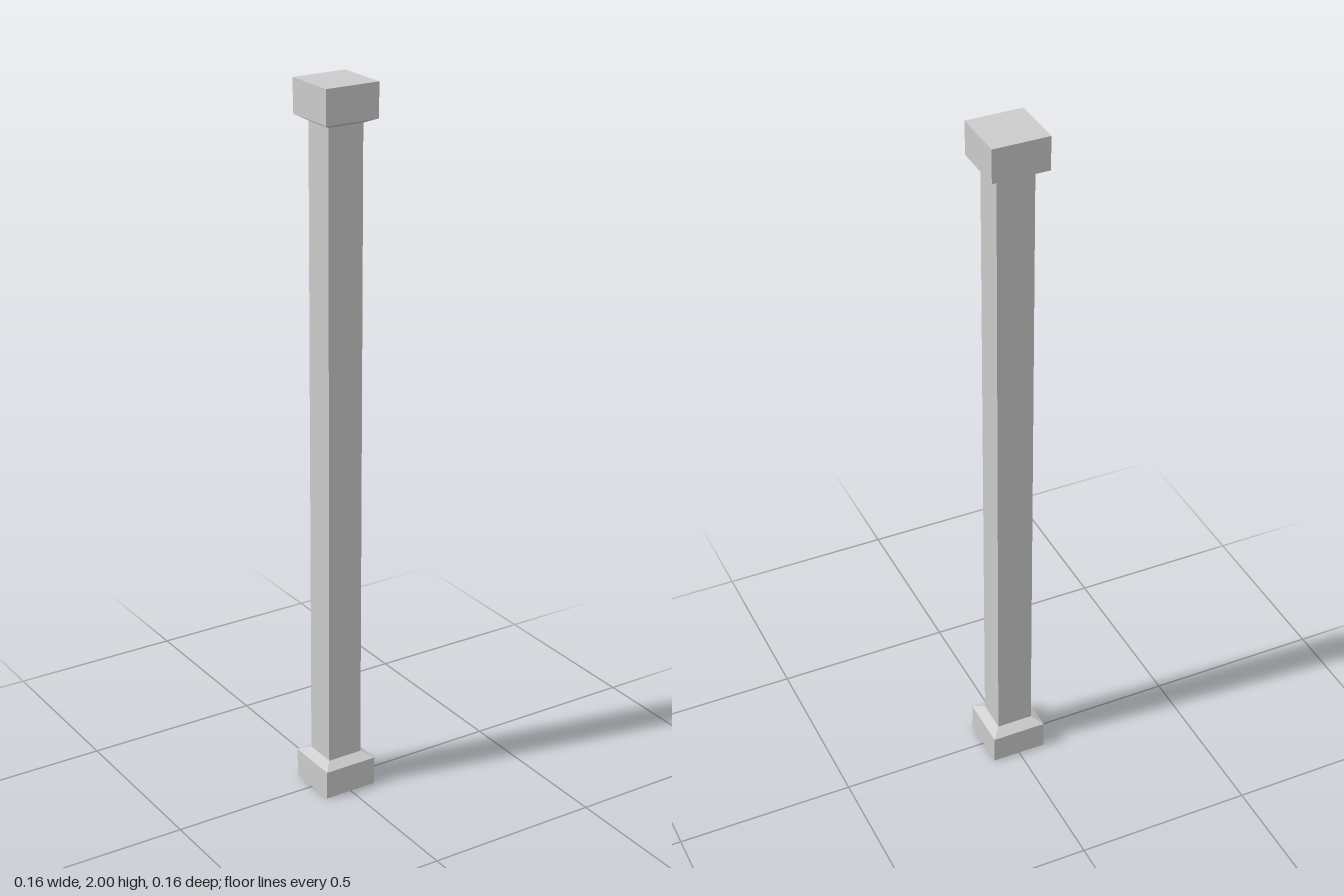
import * as THREE from 'three';

const BLOCK = 0.156;                    // square side of the base and cap
const SHAFT_X = 0.103, SHAFT_Z = 0.094; // shaft cross-section

const material = new THREE.MeshStandardMaterial({ color: 0xcccccc, flatShading: true });

// Box from y0 to y1 whose bottom and top rectangles may differ
function taperedBox(name, y0, y1, [bottomX, bottomZ], [topX, topZ]) {
  const geometry = new THREE.BoxGeometry(1, y1 - y0, 1);
  const p = geometry.attributes.position;
  for (let i = 0; i < p.count; i++) {
    const top = p.getY(i) > 0;
    p.setX(i, p.getX(i) * (top ? topX : bottomX));
    p.setZ(i, p.getZ(i) * (top ? topZ : bottomZ));
  }
  geometry.translate(0, (y0 + y1) / 2, 0);
  geometry.computeVertexNormals();
  const mesh = new THREE.Mesh(geometry, material);
  mesh.name = name;
  return mesh;
}

export function createModel() {
  const model = new THREE.Group();
  model.name = 'squareColumn';
  const block = [BLOCK, BLOCK];
  const shaft = [SHAFT_X, SHAFT_Z];

  model.add(
    // Base block with a sloped shoulder up to the shaft
    taperedBox('base', 0, 0.082, block, block),
    taperedBox('baseBevel', 0.082, 0.097, block, shaft),
    // Plain rectangular shaft
    taperedBox('shaft', 0.097, 1.893, shaft, shaft),
    // Cap block with a sloped underside
    taperedBox('capBevel', 1.893, 1.907, shaft, block),
    taperedBox('cap', 1.907, 2, block, block),
  );
  return model;
}
